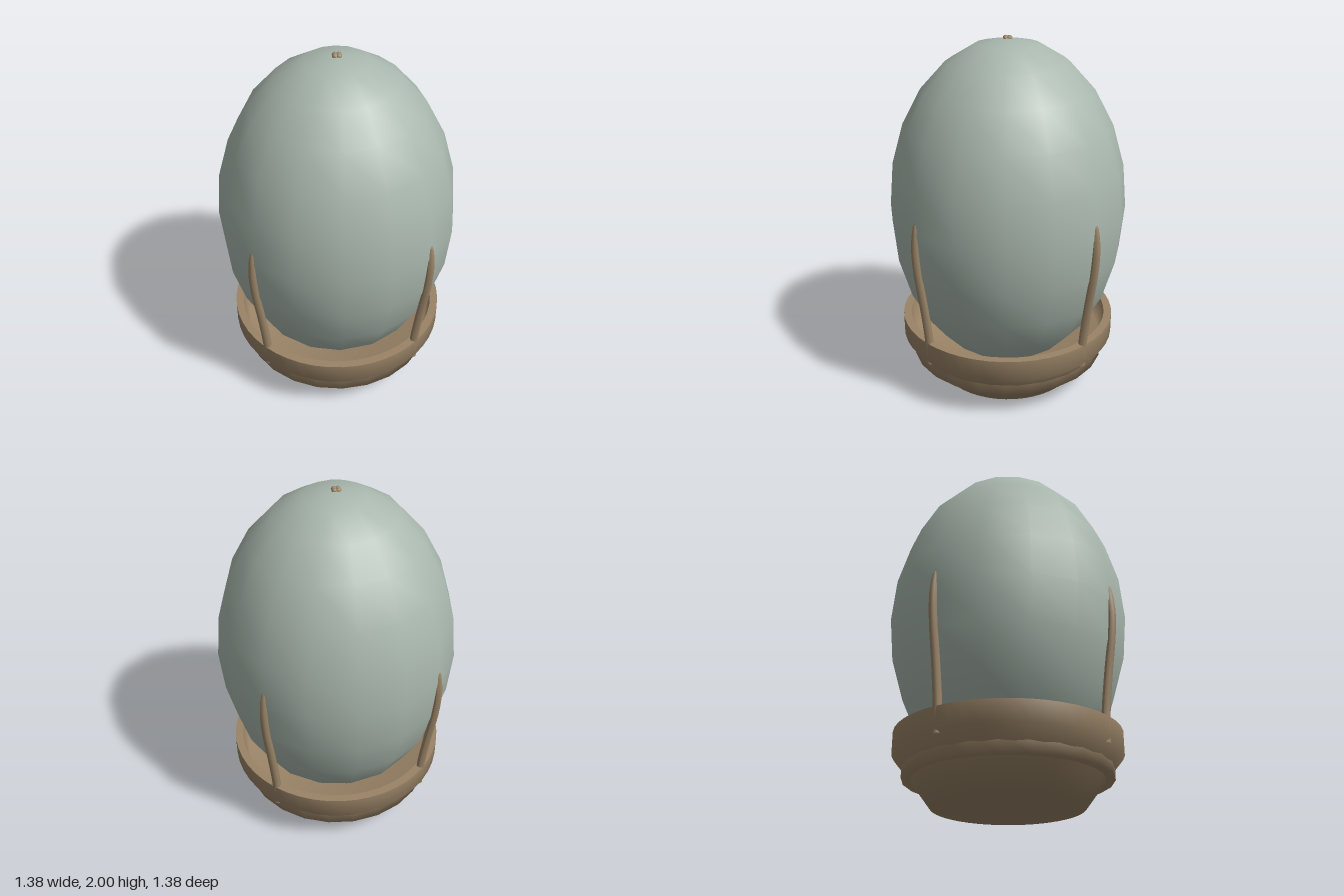
import * as THREE from 'three';

const shell = new THREE.MeshStandardMaterial({ color: 0xa9b7ad });
shell.name = 'pale sage';
const bronze = new THREE.MeshStandardMaterial({ color: 0x9a8467 });
bronze.name = 'warm bronze';

function addMesh(parent, name, geometry, material) {
  const mesh = new THREE.Mesh(geometry, material);
  mesh.name = name;
  parent.add(mesh);
  return mesh;
}

// Smooth surface of revolution from [radius, height] pairs
function lathe(points, segments) {
  return new THREE.LatheGeometry(points.map(([r, y]) => new THREE.Vector2(r, y)), segments);
}

// Curved claw that hugs the egg and narrows to a tip
function clawGeometry() {
  const path = [[0.595, 0.25], [0.601, 0.4], [0.628, 0.62], [0.658, 0.82], [0.667, 0.95], [0.662, 1.05], [0.655, 1.13]];
  const curve = new THREE.CatmullRomCurve3(path.map(([x, y]) => new THREE.Vector3(x, y, 0)));
  const rows = 24, sides = 8;
  const geometry = new THREE.TubeGeometry(curve, rows, 0.024, sides);
  const pos = geometry.attributes.position;
  const p = new THREE.Vector3();
  for (let i = 0; i <= rows; i++) {
    const t = i / rows;
    const centre = curve.getPointAt(t);
    const taper = t < 0.82 ? 1 - 0.12 * t : 0.9 * Math.sqrt(Math.max(0, 1 - ((t - 0.82) / 0.18) ** 2));
    for (let j = 0; j <= sides; j++) {
      const k = i * (sides + 1) + j;
      p.fromBufferAttribute(pos, k).sub(centre).multiplyScalar(taper).add(centre);
      pos.setXYZ(k, p.x, p.y, p.z);
    }
  }
  geometry.computeVertexNormals();
  return geometry;
}

export function createModel() {
  const model = new THREE.Group();
  model.name = 'eggOnStand';

  // Egg
  const egg = addMesh(model, 'egg', new THREE.SphereGeometry(1, 16, 12), shell);
  egg.scale.set(0.67, 0.95, 0.67);
  egg.position.y = 1.04;

  // Stand: flared foot, collar and hollow cup
  const stand = new THREE.Group();
  stand.name = 'stand';
  model.add(stand);
  addMesh(stand, 'foot', lathe([[0, 0], [0.41, 0], [0.515, 0.14]], 48), bronze);
  addMesh(stand, 'collar', lathe([[0.48, 0.14], [0.565, 0.14], [0.565, 0.23]], 24), bronze);
  addMesh(stand, 'cupOuter', lathe([[0.54, 0.17], [0.62, 0.27], [0.62, 0.385]], 48), bronze);
  addMesh(stand, 'cupRim', lathe([[0.62, 0.385], [0.575, 0.385]], 48), bronze);
  addMesh(stand, 'cupInner', lathe([[0.575, 0.385], [0.545, 0.25], [0, 0.2]], 48), bronze);

  // Four claws around the egg
  const claw = clawGeometry();
  for (let i = 0; i < 4; i++) {
    addMesh(model, 'claw', claw, bronze).rotation.y = i * Math.PI / 2;
  }

  // Small four-lobed finial on top
  const finial = new THREE.Group();
  finial.name = 'finial';
  finial.position.y = 1.984;
  model.add(finial);
  const bead = new THREE.SphereGeometry(0.016, 10, 8);
  for (let i = 0; i < 4; i++) {
    const a = i * Math.PI / 2;
    addMesh(finial, 'finialLobe', bead, bronze).position.set(Math.cos(a) * 0.014, 0, Math.sin(a) * 0.014);
  }
  return model;
}
